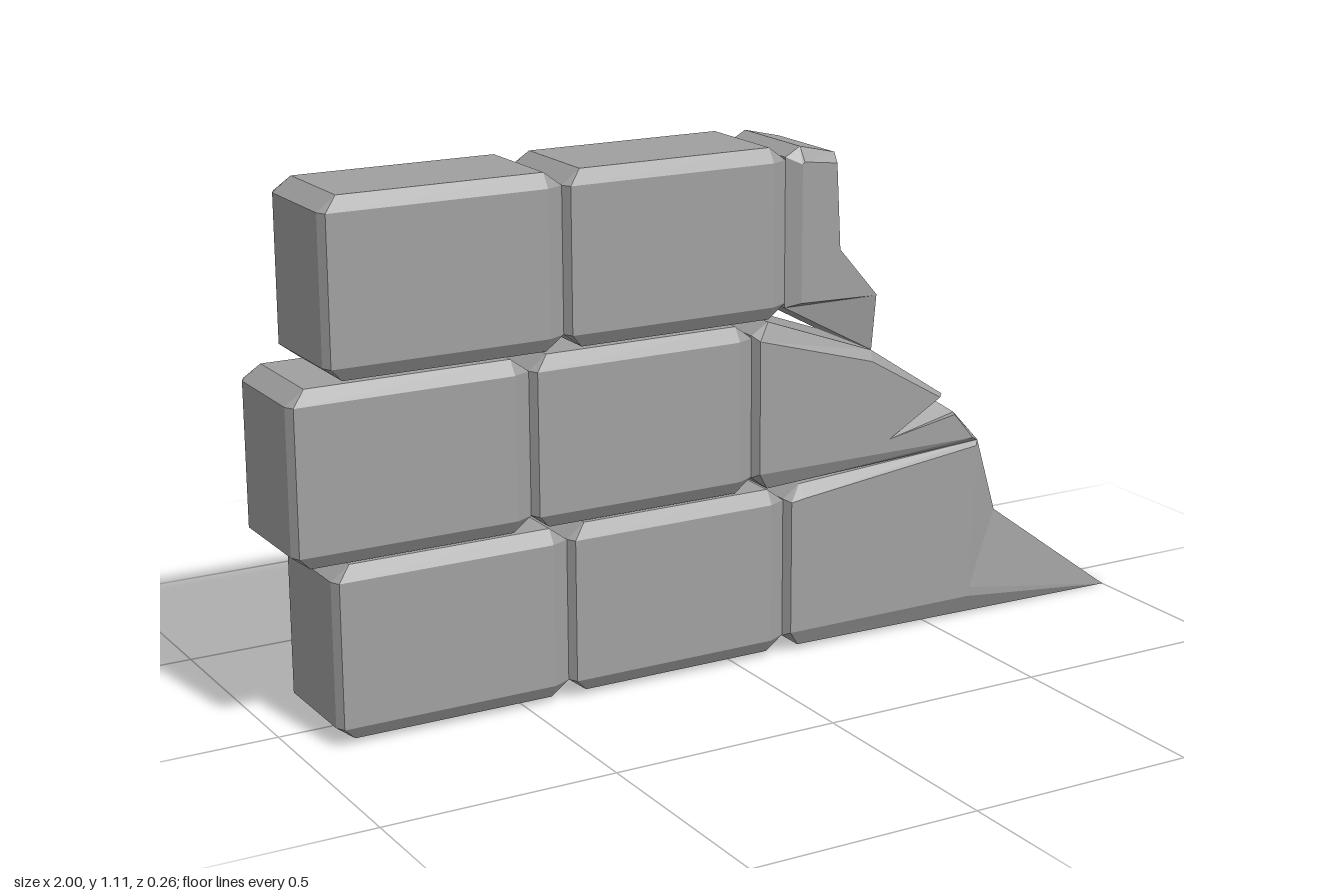
import * as THREE from 'three';

const FACE = 0.13; // depth of the flat brick face
const EDGE = 0.11; // depth where the bevel meets the brick's sides

// Each row is [outline x, outline y, face x, face y, outline depth], anticlockwise.
function brickGeometry(front, back = front) {
  const rings = [
    back.map((p) => new THREE.Vector3(p[2], p[3], -FACE)),
    back.map((p) => new THREE.Vector3(p[0], p[1], -(p[4] ?? EDGE))),
    front.map((p) => new THREE.Vector3(p[0], p[1], p[4] ?? EDGE)),
    front.map((p) => new THREE.Vector3(p[2], p[3], FACE)),
  ];
  const positions = [];
  const area = new THREE.Triangle();
  const tri = (a, b, c) => {
    if (area.set(a, b, c).getArea() < 1e-7) return;
    for (const v of [a, b, c]) positions.push(v.x, v.y, v.z);
  };
  // bevels and sides
  for (let k = 0; k < 3; k++) {
    for (let i = 0; i < front.length; i++) {
      const j = (i + 1) % front.length;
      const a = rings[k][i], b = rings[k][j], c = rings[k + 1][j], d = rings[k + 1][i];
      tri(a, b, c);
      tri(a, c, d);
    }
  }
  // front and back faces
  for (const [ring, isFront] of [[rings[3], true], [rings[0], false]]) {
    const flat = ring.map((v) => new THREE.Vector2(v.x, v.y));
    for (const [a, b, c] of THREE.ShapeUtils.triangulateShape(flat, [])) {
      const ccw = THREE.ShapeUtils.area([flat[a], flat[b], flat[c]]) > 0;
      if (ccw === isFront) tri(ring[a], ring[b], ring[c]);
      else tri(ring[a], ring[c], ring[b]);
    }
  }
  const geometry = new THREE.BufferGeometry();
  geometry.setAttribute('position', new THREE.Float32BufferAttribute(positions, 3));
  geometry.computeVertexNormals();
  return geometry;
}

// Whole brick with cut corners; the right bevel is wider than the left one
function wholeBrick(x0, x1, y0, y1) {
  const cx = 0.04, cy = 0.03;
  const l = x0 + 0.01, r = x1 - 0.04, b = y0 + 0.03, t = y1 - 0.03;
  return brickGeometry([
    [x0 + cx, y0, l, b], [x1 - cx, y0, r, b],
    [x1, y0 + cy, r, b], [x1, y1 - cy, r, t],
    [x1 - cx, y1, r, t], [x0 + cx, y1, l, t],
    [x0, y1 - cy, l, t], [x0, y0 + cy, l, b],
  ]);
}

export function createModel() {
  const group = new THREE.Group();
  const stone = new THREE.MeshStandardMaterial({ color: 0xa0a0a0 });
  stone.name = 'grey stone';
  const add = (name, geometry) => {
    const mesh = new THREE.Mesh(geometry, stone);
    mesh.name = name;
    group.add(mesh);
  };

  // two whole bricks per course, the middle course shifted sideways
  const courses = [
    ['bottom', -0.92, 0.012, 0.378],
    ['middle', -1.0, 0.382, 0.745],
    ['top', -0.92, 0.75, 1.114],
  ];
  for (const [name, x, y0, y1] of courses) {
    for (let i = 0; i < 2; i++) {
      const left = x + i * 0.52;
      add(`${name}Brick${i + 1}`, wholeBrick(left, left + 0.52, y0, y1));
    }
  }

  // broken stub at the end of the top course
  add('topBrokenBrick', brickGeometry([
    [0.12, 0.77, 0.15, 0.78], [0.34, 0.65, 0.335, 0.775], [0.34, 0.775, 0.338, 0.777],
    [0.25, 0.89, 0.245, 0.885], [0.24, 1.09, 0.235, 1.07], [0.155, 1.11, 0.155, 1.08],
    [0.12, 1.09, 0.15, 1.075],
  ]));

  // broken middle brick, chipped on the front
  const middleFront = [
    [0.08, 0.38, 0.05, 0.42], [0.62, 0.41, 0.6, 0.42, 0.12], [0.56, 0.48, 0.55, 0.48],
    [0.51, 0.52, 0.38, 0.45, 0.05], [0.52, 0.53, 0.51, 0.525, 0.12], [0.34, 0.65, 0.33, 0.63],
    [0.08, 0.745, 0.05, 0.71], [0.04, 0.72, 0.05, 0.71], [0.04, 0.41, 0.05, 0.42],
  ];
  const backFace = [
    [0.05, 0.42], [0.6, 0.42], [0.54, 0.45], [0.48, 0.48], [0.42, 0.51],
    [0.3, 0.575], [0.05, 0.7], [0.05, 0.7], [0.05, 0.42],
  ];
  const middleBack = middleFront.map(([x, y], i) => [x, y, ...backFace[i]]);
  add('middleBrokenBrick', brickGeometry(middleFront, middleBack));

  // broken bottom brick tapering to a point on the ground
  add('bottomBrokenBrick', brickGeometry([
    [0.16, 0.012, 0.13, 0.05], [1.0, 0, 0.595, 0.05, 0.105], [0.68, 0.235, 0.6, 0.07, 0.107],
    [0.62, 0.41, 0.61, 0.4, 0.12], [0.16, 0.378, 0.165, 0.35], [0.12, 0.35, 0.13, 0.345],
    [0.12, 0.04, 0.13, 0.05],
  ]));

  return group;
}
